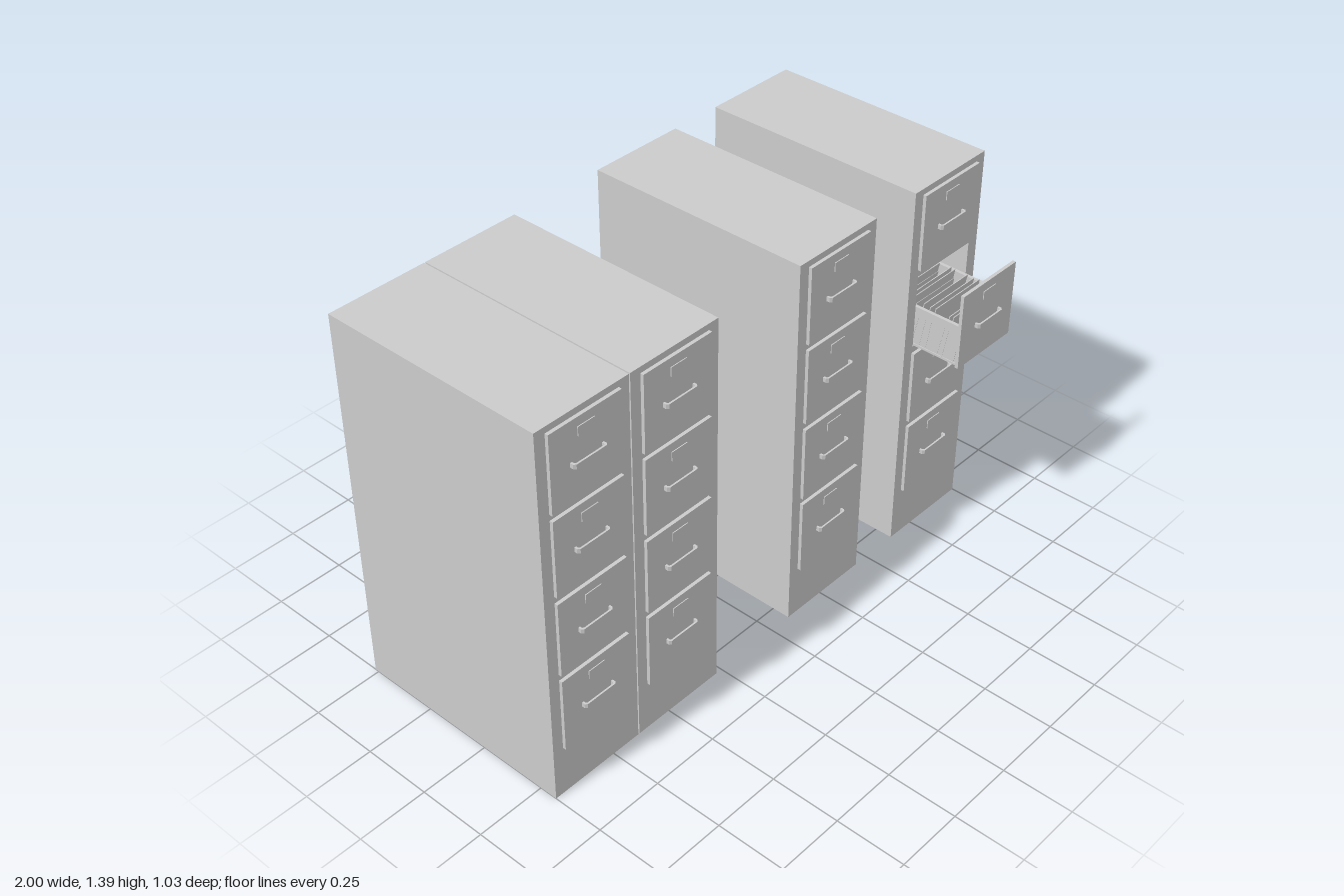
import * as THREE from 'three';

const material = new THREE.MeshStandardMaterial({ color: 0xcccccc, flatShading: true });
const W = 0.36, H = 1.387, BACK = -0.515, FACE = 0.315;
const DRAWER_W = 0.28, DRAWER_H = 0.277, PANEL = 0.012;
const ROWS = [0.188, 0.488, 0.79, 1.088];

function add(parent, name, geometry, x = 0, y = 0, z = 0) {
  const mesh = new THREE.Mesh(geometry, material);
  mesh.name = name;
  mesh.position.set(x, y, z);
  parent.add(mesh);
  return mesh;
}

const box = (parent, name, w, h, d, x, y, z) =>
  add(parent, name, new THREE.BoxGeometry(w, h, d), x, y, z);

const polygon = (points) => new THREE.Shape(points.map(([x, y]) => new THREE.Vector2(x, y)));

const rectangle = (x0, y0, x1, y1) => [[x0, y0], [x1, y0], [x1, y1], [x0, y1]];

// Bent strip pull: a flat bar with two legs, outlined from above
function handleGeometry() {
  const outer = [[-0.065, 0], [-0.065, 0.012], [-0.058, 0.019], [0.058, 0.019], [0.065, 0.012], [0.065, 0]];
  const inner = [[0.058, 0], [0.058, 0.009], [0.054, 0.013], [-0.054, 0.013], [-0.058, 0.009], [-0.058, 0]];
  const g = new THREE.ExtrudeGeometry(polygon([...outer, ...inner]), { depth: 0.016, bevelEnabled: false });
  return g.rotateX(Math.PI / 2).translate(0, 0.008, 0);
}

// Drawer front with pull and label holder; its origin is the bottom of its rear face
function drawerFront() {
  const g = new THREE.Group();
  g.name = 'drawerFront';
  box(g, 'frontPanel', DRAWER_W, DRAWER_H, PANEL, 0, DRAWER_H / 2, PANEL / 2);
  add(g, 'handle', handleGeometry(), 0, 0.133, PANEL - 0.001);
  box(g, 'labelHolder', 0.065, 0.032, 0.004, 0, 0.23, PANEL + 0.001);
  return g;
}

// Open tray: floor, thin sides with thick top rails, and leaning files
function drawerTray() {
  const g = new THREE.Group();
  g.name = 'drawerTray';
  const length = 0.76, mid = -length / 2;
  box(g, 'trayFloor', 0.264, 0.008, length, 0, 0.006, mid);
  box(g, 'trayBack', 0.25, 0.15, 0.006, 0, 0.08, -length + 0.003);
  for (const s of [-1, 1]) {
    box(g, 'traySide', 0.004, 0.125, length, s * 0.127, 0.065, mid);
    box(g, 'trayRail', 0.012, 0.031, length, s * 0.128, 0.14, mid);
  }
  const gaps = [0.045, 0.018, 0.05, 0.024, 0.029];
  let z = -0.007;
  for (let i = 0; z > -length + 0.04; i++) {
    const file = box(g, 'file', 0.26, 0.118, 0.003, 0, 0.067, z);
    file.rotation.x = 0.17 + 0.03 * (i % 3 - 1);
    // Folder upper edge, narrower so it fits between the rails
    const top = box(file, 'fileTop', 0.236, 0.045, 0.003, 0, 0.0805, 0);
    top.scale.y = i % 2 ? 1 : 0.85;
    z -= gaps[i % gaps.length];
  }
  return g;
}

// Cabinet shell; an open row gets a deep pocket behind its drawer
function cabinet(x, openRow = -1) {
  const g = new THREE.Group();
  g.name = 'cabinet';
  g.position.x = x;
  if (openRow < 0) {
    box(g, 'shell', W, H, FACE - BACK, 0, H / 2, (FACE + BACK) / 2);
  } else {
    const outline = polygon(rectangle(-W / 2, 0, W / 2, H));
    const y = ROWS[openRow];
    outline.holes.push(polygon(rectangle(-0.136, y, 0.136, y + DRAWER_H - 0.004)));
    const depth = FACE - BACK - 0.02;
    add(g, 'shell', new THREE.ExtrudeGeometry(outline, { depth, bevelEnabled: false }), 0, 0, FACE - depth);
    box(g, 'backPanel', W, H, 0.02, 0, H / 2, BACK + 0.01);
  }
  ROWS.forEach((y, row) => {
    const front = drawerFront();
    front.position.set(0, y, FACE);
    if (row === openRow) {
      front.position.z += 0.173;
      front.add(drawerTray());
    }
    g.add(front);
  });
  return g;
}

export function createModel() {
  const model = new THREE.Group();
  model.name = 'filingCabinets';
  model.add(cabinet(-0.82), cabinet(-0.455), cabinet(0.265), cabinet(0.82, 2));
  return model;
}
